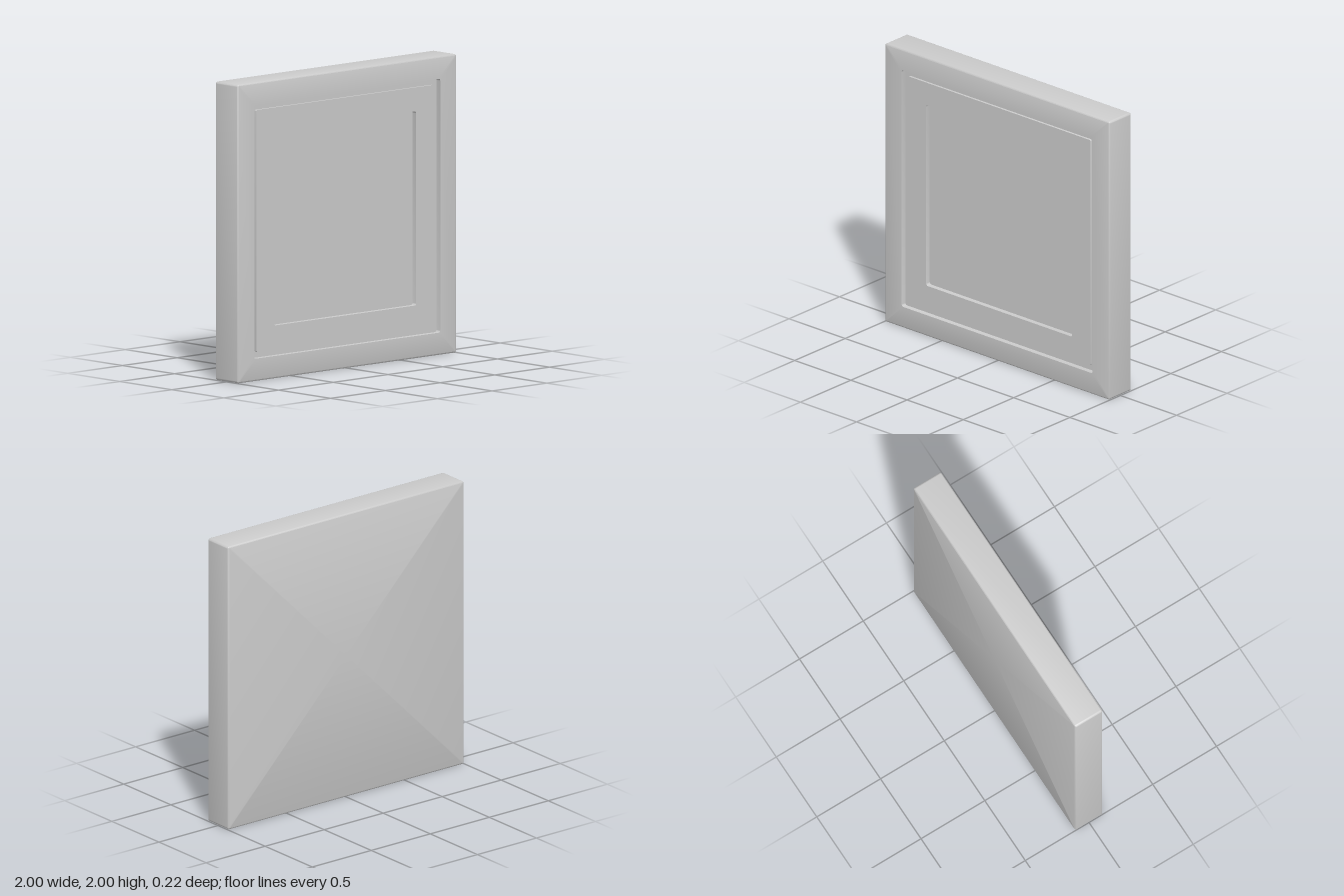
import * as THREE from 'three';
import { toCreasedNormals } from 'three/addons/utils/BufferGeometryUtils.js';

const CORNER_STEPS = 4;

// Square ring with rounded corners, counter-clockwise seen from the front
function ring([half, z, radius]) {
  const points = [];
  for (let corner = 0; corner < 4; corner++) {
    const mid = Math.PI / 4 + corner * Math.PI / 2;
    const cx = Math.sign(Math.cos(mid)) * (half - radius);
    const cy = Math.sign(Math.sin(mid)) * (half - radius);
    for (let i = 0; i <= CORNER_STEPS; i++) {
      const a = (corner + i / CORNER_STEPS) * Math.PI / 2;
      points.push([cx + radius * Math.cos(a), cy + radius * Math.sin(a), z]);
    }
  }
  return points;
}

// Skins a list of rings from back to front and closes both ends
function skinRings(sections) {
  const rings = sections.map(ring);
  const n = rings[0].length;
  const positions = rings.flat(2);
  const index = [];
  for (let r = 0; r < rings.length - 1; r++) {
    for (let i = 0; i < n; i++) {
      const a = r * n + i, b = r * n + (i + 1) % n;
      index.push(a, b, b + n, a, b + n, a + n);
    }
  }
  const back = rings.length * n, front = back + 1, last = back - n;
  positions.push(0, 0, sections[0][1], 0, 0, sections.at(-1)[1]);
  for (let i = 0; i < n; i++) {
    const j = (i + 1) % n;
    index.push(back, j, i, front, last + i, last + j);
  }
  const geometry = new THREE.BufferGeometry();
  geometry.setAttribute('position', new THREE.Float32BufferAttribute(positions, 3));
  geometry.setIndex(index);
  return toCreasedNormals(geometry, 0.6);
}

export function createModel() {
  const group = new THREE.Group();
  group.name = 'wallPanel';

  const depth = 0.108, bevel = 0.01;
  const sections = [];

  // Softened outer edges: back, then front
  for (const side of [-1, 1]) {
    for (let i = 0; i <= 3; i++) {
      const a = (side < 0 ? i : 3 - i) / 3 * Math.PI / 2;
      const inset = bevel * (1 - Math.sin(a));
      sections.push([1 - inset, side * (depth - bevel + bevel * Math.cos(a)), 0.016 - inset]);
    }
  }

  // Groove, inner frame and sunken centre: half size, z, corner radius
  const grooveZ = depth - 0.037, frameZ = depth - 0.021, centreZ = depth - 0.056;
  sections.push(
    [0.85, depth, 0.015], [0.85, grooveZ, 0.015],
    [0.81, grooveZ, 0.008], [0.81, frameZ, 0.008],
    [0.65, frameZ, 0.015], [0.65, centreZ, 0.015],
  );

  const panel = new THREE.Mesh(
    skinRings(sections),
    new THREE.MeshStandardMaterial({ color: 0xcccccc }),
  );
  panel.name = 'panel';
  panel.position.y = 1;
  group.add(panel);
  return group;
}
